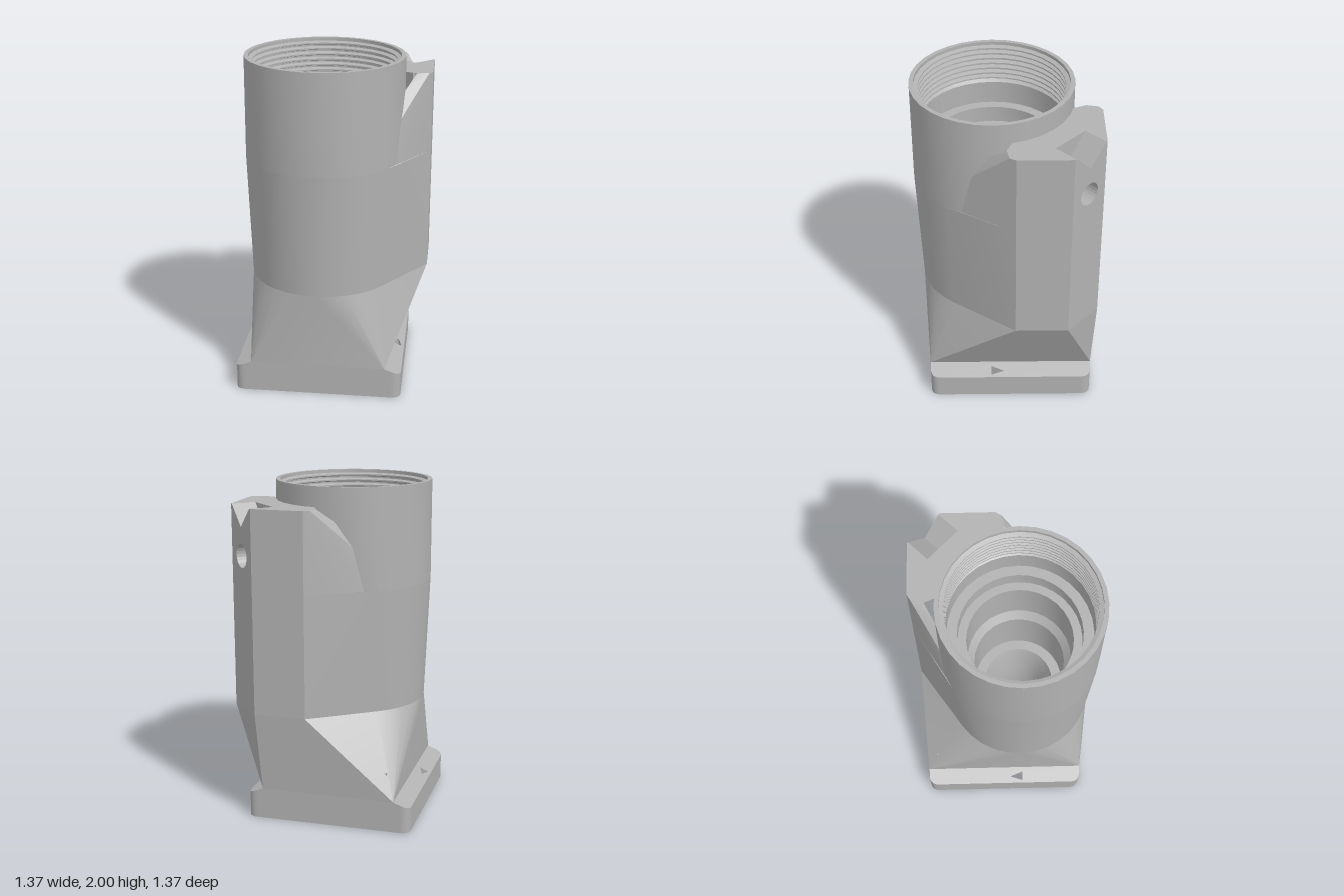
import * as THREE from 'three';
import { ConvexGeometry } from 'three/addons/geometries/ConvexGeometry.js';
import { toCreasedNormals } from 'three/addons/utils/BufferGeometryUtils.js';

const C = 0.07;      // x and z of the tube axis
const SIDES = 32;

// Ring of points around the tube axis
function ring(r, y) {
  return Array.from({ length: SIDES }, (_, i) => {
    const t = (i / SIDES) * Math.PI * 2;
    return new THREE.Vector3(C + r * Math.sin(t), y, C + r * Math.cos(t));
  });
}

// Points mirrored left and right of the tube axis, from [half width, z] pairs
function pairs(list, y) {
  return list.flatMap(([w, z]) => [-w, w].map((x) => new THREE.Vector3(C + x, y, z)));
}

// Convex skin without the faces that drop() rejects
function skin(points, drop) {
  const src = new ConvexGeometry(points).getAttribute('position');
  const out = [];
  const v = [0, 1, 2].map(() => new THREE.Vector3());
  const tri = new THREE.Triangle();
  const n = new THREE.Vector3();
  for (let i = 0; i < src.count; i += 3) {
    v.forEach((p, k) => p.fromBufferAttribute(src, i + k));
    tri.set(v[0], v[1], v[2]).getNormal(n);
    if (!drop(n)) v.forEach((p) => out.push(p.x, p.y, p.z));
  }
  const g = new THREE.BufferGeometry();
  g.setAttribute('position', new THREE.Float32BufferAttribute(out, 3));
  return toCreasedNormals(g, 0.4);
}

const shapeOf = (pts) => new THREE.Shape(pts.map(([x, y]) => new THREE.Vector2(x, y)));
const pathOf = (pts) => new THREE.Path(pts.map(([x, y]) => new THREE.Vector2(x, y)));
const rect = (a0, a1, b0, b1) => [[a0, b0], [a1, b0], [a1, b1], [a0, b1]];

// Plan shape raised from y0 to y1
function slab(shape, y0, y1) {
  return new THREE.ExtrudeGeometry(shape, { depth: y1 - y0, bevelEnabled: false, curveSegments: 12 })
    .rotateX(-Math.PI / 2).translate(0, y0, 0);
}

export function createModel() {
  const model = new THREE.Group();
  const grey = new THREE.MeshStandardMaterial({ color: 0xb2b2b2 });
  grey.name = 'grey plastic';
  const add = (name, geometry, parent = model) => {
    const m = new THREE.Mesh(geometry, grey);
    m.name = name;
    parent.add(m);
    return m;
  };

  // Base, turned by 45 degrees
  const base = new THREE.Group();
  base.name = 'base';
  base.rotation.y = -Math.PI / 4;
  model.add(base);

  // Open pocket, with an eight-sided end, and a small side pocket
  const pocket = [[-0.12, -0.21], [0.3, -0.21], [0.3, 0.21], [-0.12, 0.21], [-0.12, 0.1],
    [-0.19, 0.18], [-0.34, 0.18], [-0.42, 0.09], [-0.42, -0.09], [-0.34, -0.18], [-0.19, -0.18], [-0.12, -0.1]];
  const sidePocket = [[-0.38, 0.25], [-0.22, 0.25], [-0.24, 0.34], [-0.36, 0.34]];
  const core = (a, b) => {
    const s = shapeOf(rect(-a, a, -b, b));
    s.holes.push(pathOf(pocket), pathOf(sidePocket));
    return s;
  };
  add('baseCore', slab(core(0.5, 0.4), 0, 0.19), base);
  add('pocketWalls', slab(core(0.44, 0.36), 0.19, 0.32), base);

  const ceiling = shapeOf(rect(-0.44, 0.4, -0.35, 0.35));
  ceiling.holes.push(new THREE.Path().absarc(0.1, 0, 0.15, 0, Math.PI * 2, true));
  add('pocketCeiling', slab(ceiling, 0.32, 0.34), base);

  // Sloping flanges with triangular holes
  for (const s of [-1, 1]) {
    const f = new THREE.Shape();
    f.moveTo(-0.5, 0.4 * s).lineTo(0.5, 0.4 * s).lineTo(0.5, 0.44 * s);
    f.quadraticCurveTo(0.5, 0.5 * s, 0.44, 0.5 * s).lineTo(-0.44, 0.5 * s);
    f.quadraticCurveTo(-0.5, 0.5 * s, -0.5, 0.44 * s);
    f.holes.push(pathOf([[0.04, 0.46 * s], [0.12, 0.43 * s], [0.12, 0.485 * s]]));
    const g = slab(f, 0, 0.15);
    const p = g.getAttribute('position');
    for (let i = 0; i < p.count; i++) {
      if (p.getY(i) > 0.1) p.setY(i, 0.15 + 0.4 * (0.5 - Math.abs(p.getZ(i))));
    }
    g.computeVertexNormals();
    add(s > 0 ? 'backFlange' : 'frontFlange', g, base);
  }

  // Flared foot and body, blending from a rectangle to tube plus rear column
  const column = [[0.13, -0.68], [0.35, -0.46]];
  const flat = (n) => Math.abs(n.y) > 0.99;
  const corners = [[0.07, 0.64], [0.64, 0.07], [-0.64, -0.07], [-0.07, -0.64]]
    .map(([x, z]) => new THREE.Vector3(x, 0.19, z));
  const waist = [...ring(0.44, 0.66), ...pairs(column, 0.66)];
  add('flaredFoot', skin([...corners, ...waist], flat));
  add('body', skin([...waist, ...ring(0.47, 1.4), ...pairs(column, 1.4)], flat));

  // Rear column above the body, with shoulders falling into the tube
  const shoulder = [[0.36, -0.42], [0.32, -0.36], [0.25, -0.33]];
  add('rearColumn', skin([
    ...ring(0.47, 1.4).filter((p) => p.z < -0.04), ...pairs(column, 1.4),
    ...pairs([[0.404, -0.17]], 1.66), ...pairs([[0.344, -0.25]], 1.8),
    ...pairs([...column, ...shoulder], 1.88),
  ], (n) => flat(n) || n.z < -0.95 || (n.z > 0.2 && Math.abs(n.x) < 0.3)));

  // Column top, cut out around the tube and the notch
  const half = [[0.12, 0.53], [0.12, 0.68], ...column.concat(shoulder).map(([w, z]) => [w, -z])];
  const arc = [0.2, 0.1, 0, -0.1, -0.2].map((x) => [x, Math.sqrt(0.46 ** 2 - x * x) - C]);
  const left = half.map(([x, y]) => [-x, y]).reverse();
  add('columnTop', new THREE.ShapeGeometry(shapeOf([...half, ...arc, ...left]))
    .rotateX(-Math.PI / 2).translate(C, 1.88, 0));

  // Column back with a V notch and a round hole
  const back = shapeOf([[-0.13, 1.4], [0.13, 1.4], [0.13, 1.88], [0.12, 1.88],
    [0, 1.76], [-0.12, 1.88], [-0.13, 1.88]]);
  back.holes.push(new THREE.Path().absarc(0, 1.59, 0.07, 0, Math.PI * 2, true));
  add('notchedBack', new THREE.ExtrudeGeometry(back, { depth: 0.15, bevelEnabled: false })
    .translate(C, 0, -0.68));
  add('notchEnd', new THREE.BoxGeometry(0.24, 0.38, 0.02).translate(C, 1.689, -0.52));

  // Tube wall, inner thread and stepped bore
  const profile = [[0.47, 1.4], [0.47, 2], [0.445, 2]];
  for (let i = 0; i < 7; i++) {
    const y = 1.98 - i * 0.033;
    profile.push([0.445, y], [0.42, y - 0.008], [0.42, y - 0.016], [0.445, y - 0.024]);
  }
  profile.push([0.42, 1.74], [0.42, 1.6], [0.36, 1.6], [0.36, 1.5], [0.31, 1.5], [0.31, 1.2],
    [0.27, 1.15], [0.27, 0.8], [0.21, 0.8], [0.15, 0.6], [0.15, 0.32]);
  const tube = new THREE.LatheGeometry(profile.map(([r, y]) => new THREE.Vector2(r, y)), SIDES);
  add('threadedTube', toCreasedNormals(tube, 0.4).translate(C, 0, C));

  return model;
}
